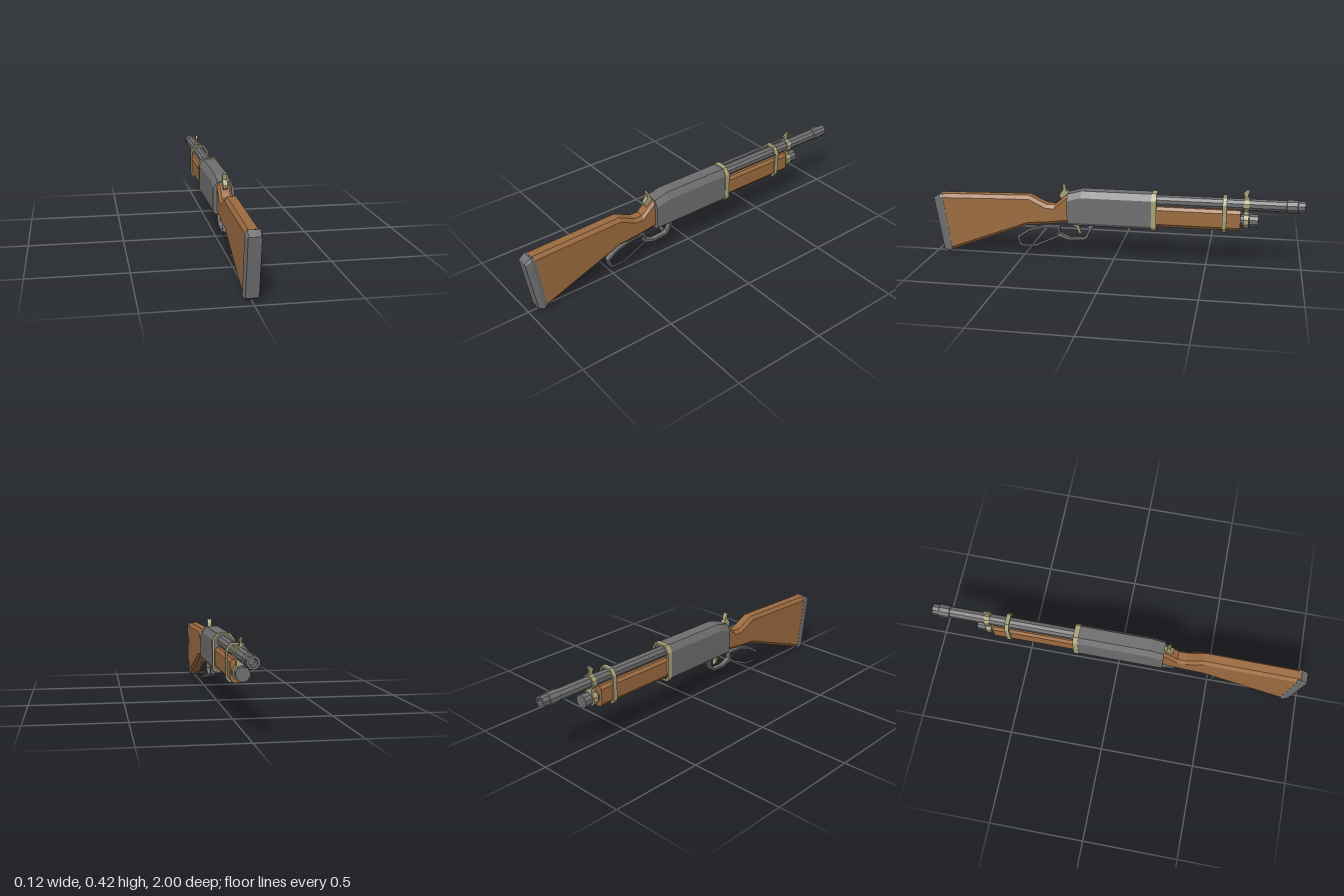
import * as THREE from 'three';

const mat = (color) => new THREE.MeshStandardMaterial({ color, flatShading: true });

export function createModel() {
  const root = new THREE.Group();
  const steel = mat(0x6e6e6e), wood = mat(0x9c6b40), brass = mat(0xaaa27a);
  const add = (name, geo, material) => {
    const m = new THREE.Mesh(geo, material);
    m.name = name;
    root.add(m);
    return m;
  };

  // Chamfered rectangle, clockwise seen from +z
  const outline = (top, bot, hw, cx, cy, bx = cx, by = cy) => {
    const half = [[hw - cx, top], [hw, top - cy], [hw, bot + by], [hw - bx, bot]];
    return [...half, ...half.slice().reverse().map(([x, y]) => [-x, y])];
  };

  // Solid through sections [zTop, zBottom, outline], ordered by rising z
  const loft = (sections) => {
    const pos = [], idx = [], n = 8;
    for (const [zt, zb, pts] of sections) {
      const top = pts[0][1], bot = pts[3][1];
      for (const [x, y] of pts) pos.push(x, y, zb + (zt - zb) * (y - bot) / (top - bot));
    }
    for (let i = 0; i < sections.length - 1; i++)
      for (let j = 0; j < n; j++) {
        const a = i * n + j, b = i * n + (j + 1) % n;
        idx.push(a, a + n, b, b, a + n, b + n);
      }
    const e = (sections.length - 1) * n;
    for (let j = 1; j < n - 1; j++) idx.push(0, j, j + 1, e, e + j + 1, e + j);
    const g = new THREE.BufferGeometry();
    g.setAttribute('position', new THREE.Float32BufferAttribute(pos, 3));
    g.setIndex(idx);
    g.computeVertexNormals();
    return g;
  };

  const toShape = (pts) => new THREE.Shape(pts.map(([x, y]) => new THREE.Vector2(x, y)));

  // Side profile in (z, y), extruded across x
  const sideCut = (shape, width) => {
    const g = new THREE.ExtrudeGeometry(shape, { depth: width, bevelEnabled: false });
    g.translate(0, 0, -width / 2);
    return g.rotateY(-Math.PI / 2);
  };

  // Flat metal strip following a (z, y) path
  const strip = (path, thick, closed) => {
    const p = path.map(([a, b]) => new THREE.Vector2(a, b)), n = p.length;
    const sides = [1, -1].map((s) => p.map((v, i) => {
      const prev = closed ? p[(i + n - 1) % n] : p[Math.max(i - 1, 0)];
      const next = closed ? p[(i + 1) % n] : p[Math.min(i + 1, n - 1)];
      const d1 = v.clone().sub(prev).normalize(), d2 = next.clone().sub(v).normalize();
      const t = d1.clone().add(d2).normalize();
      const k = thick / 2 / Math.max(0.6, t.dot(d2));
      return new THREE.Vector2(v.x - t.y * k * s, v.y + t.x * k * s);
    }));
    if (!closed) return new THREE.Shape([...sides[0], ...sides[1].reverse()]);
    const areas = sides.map((s) => Math.abs(THREE.ShapeUtils.area(s)));
    const out = areas[0] > areas[1] ? 0 : 1;
    const shape = new THREE.Shape(sides[out]);
    shape.holes.push(new THREE.Path(sides[1 - out]));
    return shape;
  };

  // Turned part: profile of [radius, z], from rear to muzzle
  const turned = (profile, y, sides = 10) => {
    const g = new THREE.LatheGeometry(profile.map(([r, z]) => new THREE.Vector2(r, -z)), sides);
    return g.rotateX(-Math.PI / 2).translate(0, y, 0);
  };

  // Chamfered ring around the body
  const band = (outer, inner, z0, z1) => {
    const shape = toShape(outer);
    shape.holes.push(new THREE.Path(inner.map(([x, y]) => new THREE.Vector2(x, y))));
    return new THREE.ExtrudeGeometry(shape, { depth: z1 - z0, bevelEnabled: false }).translate(0, 0, z0);
  };

  // Stock: wrist, dip behind the hammer, comb and butt
  const grip = (top, bot) => outline(top, bot, 0.036, 0.014, 0.02, 0.012, 0.016);
  add('stock', loft([
    [0.23, 0.23, grip(0.366, 0.204)],
    [0.25, 0.25, grip(0.362, 0.204)],
    [0.32, 0.33, grip(0.3, 0.193)],
    [0.365, 0.37, grip(0.3, 0.188)],
    [0.46, 0.47, grip(0.346, 0.18)],
    [0.96, 0.915, grip(0.333, 0.012)],
  ]), wood);
  add('buttPlate', loft([
    [0.95, 0.908, outline(0.33, 0.012, 0.037, 0.01, 0.015)],
    [0.966, 0.925, outline(0.334, 0, 0.04, 0.01, 0.016)],
    [1.0, 0.955, outline(0.31, 0.017, 0.031, 0.004, 0.006)],
  ]), steel);

  // Receiver with sloped rear top
  const body = (top) => outline(top, 0.197, 0.055, 0.022, 0.034, 0.011, 0.016);
  add('receiver', loft([
    [-0.22, -0.22, body(0.386)],
    [0.17, 0.17, body(0.386)],
    [0.246, 0.246, body(0.366)],
  ]), steel);
  add('receiverBand', band(
    outline(0.39, 0.19, 0.058, 0.023, 0.036, 0.013, 0.02),
    outline(0.38, 0.202, 0.049, 0.02, 0.03, 0.01, 0.014), -0.235, -0.208), brass);

  // Fore-end and its band
  add('foreEnd', loft([-0.674, -0.215].map((z) =>
    [z, z, outline(0.318, 0.207, 0.043, 0.012, 0.016, 0.014, 0.018)])), wood);
  add('foreEndBand', band(
    outline(0.384, 0.199, 0.051, 0.022, 0.034, 0.014, 0.02),
    outline(0.374, 0.209, 0.042, 0.018, 0.028, 0.012, 0.016), -0.602, -0.58), brass);

  // Barrel with muzzle collar and bore
  add('barrel', turned([[0.031, -0.2], [0.031, -0.905], [0.035, -0.908], [0.035, -0.962],
    [0.031, -0.965], [0.031, -1], [0.02, -1], [0.02, -0.93], [0, -0.93]], 0.345), steel);
  add('magazineTube', turned([[0.03, -0.66], [0.03, -0.715], [0.035, -0.72],
    [0.035, -0.765], [0, -0.765]], 0.259), steel);

  // Front clamp around both tubes, carrying the sight
  const clamp = (r) => [[0, -0.689], [r, -0.689], [r, -0.716], [0, -0.716]];
  add('barrelClamp', turned(clamp(0.038), 0.345), brass);
  add('magazineClamp', turned(clamp(0.041), 0.259), brass);
  add('clampBridge', new THREE.BoxGeometry(0.04, 0.06, 0.027).translate(0, 0.302, -0.7025), brass);
  add('frontSight', sideCut(toShape([[-0.69, 0.375], [-0.716, 0.375], [-0.708, 0.395],
    [-0.717, 0.424], [-0.7, 0.424], [-0.683, 0.405], [-0.69, 0.395]]), 0.011), brass);

  // Hammer and trigger
  add('hammer', sideCut(toShape([[0.24, 0.33], [0.24, 0.365], [0.257, 0.378], [0.26, 0.395],
    [0.27, 0.416], [0.277, 0.412], [0.273, 0.385], [0.293, 0.358], [0.293, 0.345], [0.275, 0.32]]), 0.023), brass);
  add('trigger', sideCut(toShape([[0.225, 0.205], [0.17, 0.205], [0.19, 0.178], [0.176, 0.138],
    [0.19, 0.142], [0.204, 0.175], [0.222, 0.182]]), 0.02), brass);

  // Lever: trigger guard and finger loop
  add('triggerGuard', sideCut(strip([[0.115, 0.2], [0.148, 0.122], [0.17, 0.11], [0.245, 0.106],
    [0.3, 0.128]], 0.012, false), 0.028), steel);
  add('guardFoot', sideCut(toShape([[0.1, 0.205], [0.142, 0.205], [0.138, 0.165], [0.128, 0.152]]), 0.028), steel);
  add('leverLoop', sideCut(strip([[0.302, 0.167], [0.312, 0.172], [0.39, 0.168], [0.475, 0.143],
    [0.53, 0.105], [0.518, 0.063], [0.5, 0.057], [0.435, 0.06], [0.312, 0.117], [0.3, 0.13]], 0.011, true), 0.028), steel);

  return root;
}
